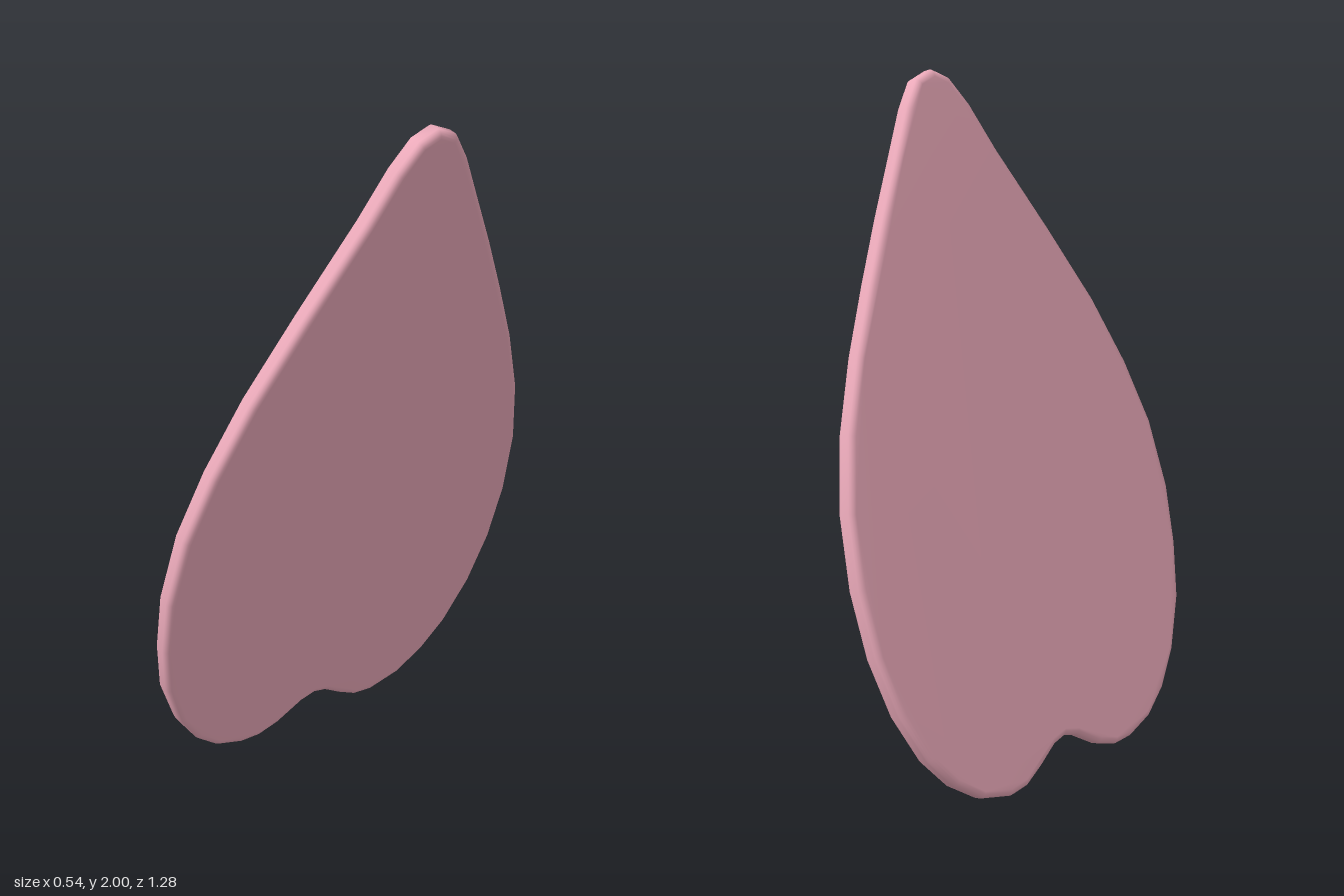
import * as THREE from 'three';
import { mergeVertices } from 'three/addons/utils/BufferGeometryUtils.js';

// Petal outline as (z, y) pairs, from the tip round through the notch
const OUTLINE = [
  [-0.03, 2], [-0.095, 1.975], [-0.15, 1.9], [-0.22, 1.775], [-0.31, 1.615], [-0.4, 1.445],
  [-0.49, 1.265], [-0.57, 1.07], [-0.62, 0.87], [-0.635, 0.67], [-0.62, 0.485], [-0.577, 0.32],
  [-0.508, 0.18], [-0.43, 0.09], [-0.34, 0.03], [-0.233, 0.005], [-0.164, 0.015], [-0.1, 0.05],
  [-0.03, 0.095], [0.016, 0.107], [0.063, 0.095], [0.148, 0.045], [0.217, 0.025], [0.286, 0.03],
  [0.38, 0.065], [0.46, 0.13], [0.534, 0.23], [0.6, 0.38], [0.63, 0.54], [0.64, 0.715],
  [0.614, 0.92], [0.55, 1.11], [0.455, 1.31], [0.32, 1.53], [0.164, 1.77], [0.09, 1.9], [0.03, 1.975],
];

// Lean of the petal: x of its middle plane at a height and depth
const LEAN_Y = 0.238, LEAN_Z = -0.09;
const planeX = (y, z) => 0.243 + LEAN_Y * (y - 2) + LEAN_Z * (z + 0.03);

export function createModel() {
  const group = new THREE.Group();
  const shape = new THREE.Shape(OUTLINE.map(([z, y]) => new THREE.Vector2(-z, y)));

  // Thin plate with a rounded rim
  const depth = 0.022, bevel = 0.017;
  let geometry = new THREE.ExtrudeGeometry(shape, {
    depth, bevelThickness: bevel, bevelSize: 0.02, bevelOffset: -0.02, bevelSegments: 4,
  });
  geometry.translate(0, 0, -depth / 2);
  geometry.rotateY(Math.PI / 2);

  // Tilt the plate: thickness runs along the normal of the leaning plane
  const p = geometry.attributes.position;
  for (let i = 0; i < p.count; i++) {
    const d = p.getX(i), y = p.getY(i), z = p.getZ(i);
    p.setXYZ(i, planeX(y, z) + d, y - LEAN_Y * d, z - LEAN_Z * d);
  }

  // Shared vertices give soft shading over the rim
  geometry.deleteAttribute('normal');
  geometry.deleteAttribute('uv');
  geometry = mergeVertices(geometry, 1e-5);
  geometry.computeVertexNormals();

  const petal = new THREE.Mesh(geometry, new THREE.MeshStandardMaterial({ color: 0xeaa9b9 }));
  petal.name = 'petal';
  group.add(petal);
  return group;
}
